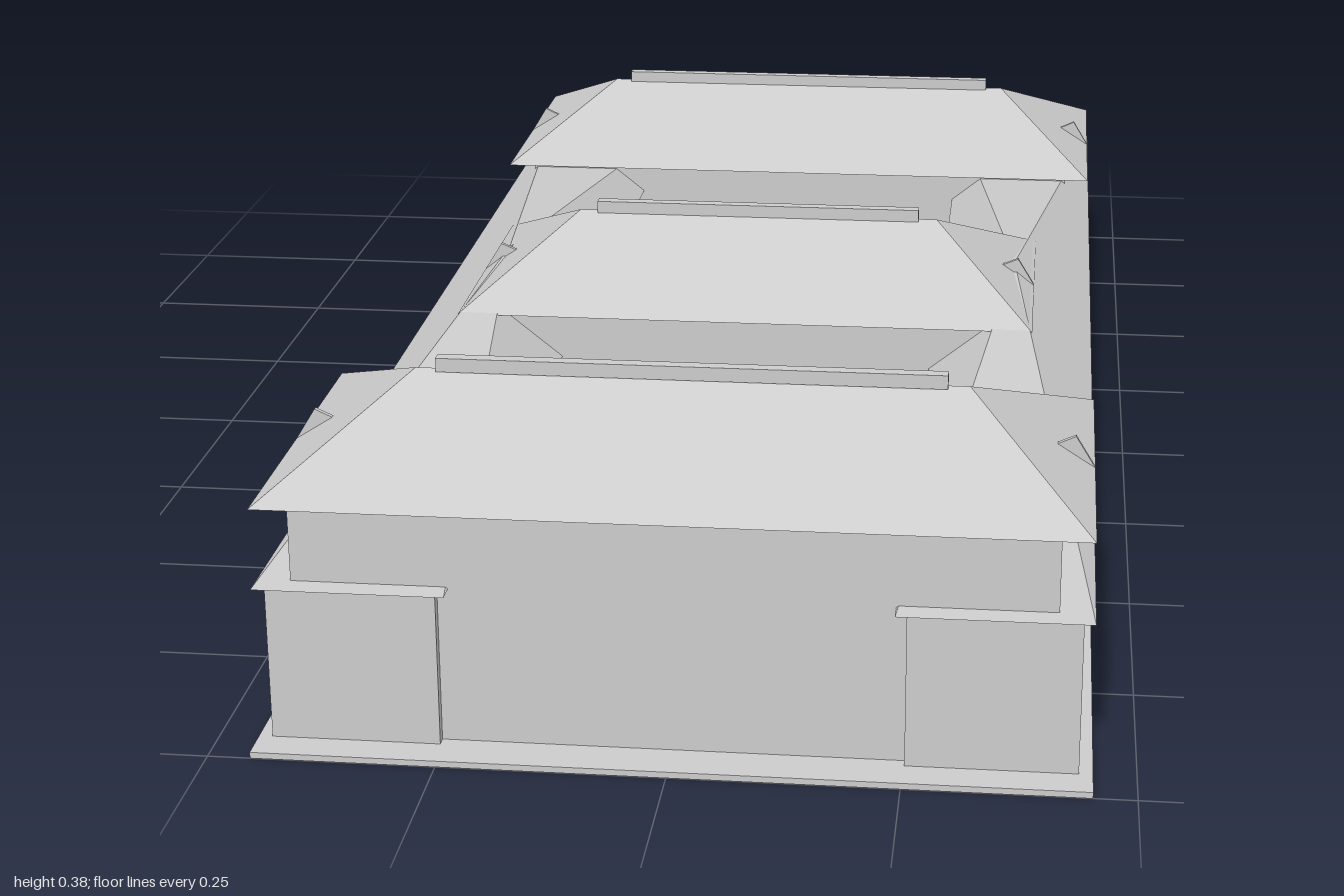
import * as THREE from 'three';

const stone = new THREE.MeshStandardMaterial({ color: 0xcccccc, flatShading: true });
stone.name = 'paleGrey';

const BASE = 0.007;

function add(group, name, geometry, x = 0, y = 0, z = 0) {
  const mesh = new THREE.Mesh(geometry, stone);
  mesh.name = name;
  mesh.position.set(x, y, z);
  group.add(mesh);
  return mesh;
}

// Box standing on height y0
function block(group, name, w, h, d, x, y0, z) {
  return add(group, name, new THREE.BoxGeometry(w, h, d), x, y0 + h / 2, z);
}

// Hipped roof: the top face of a box is pulled in to a ridge along x (ridge 0 gives a pyramid)
function hipRoof(halfX, halfZ, ridge, h) {
  const g = new THREE.BoxGeometry(2 * halfX, h, 2 * halfZ);
  const p = g.attributes.position;
  for (let i = 0; i < p.count; i++) {
    if (p.getY(i) > 0) p.setXYZ(i, Math.sign(p.getX(i)) * ridge, h, 0);
    else p.setY(i, 0);
  }
  g.computeVertexNormals();
  return g;
}

// Small upright triangular fin lying on the end slope of a roof
function fin(eaveX, run, rise) {
  const k = 0.042;
  const s = new THREE.Shape();
  s.moveTo(eaveX, 0);
  s.lineTo(eaveX - 0.022, 0.036);
  s.lineTo(eaveX - k, (k * rise) / run);
  s.closePath();
  const g = new THREE.ExtrudeGeometry(s, { depth: 0.006, bevelEnabled: false });
  g.translate(0, 0, -0.003);
  return g;
}

// Hall: walls, hipped roof, ridge bar and a fin at each end
function hall(name, { z, eaveX, halfZ, ridge, eaveY, rise }) {
  const g = new THREE.Group();
  g.name = name;
  g.position.z = z;
  block(g, 'hallWalls', 2 * (eaveX - 0.035), eaveY - BASE, 2 * (halfZ - 0.027), 0, BASE, 0);
  add(g, 'hallRoof', hipRoof(eaveX, halfZ, ridge, rise), 0, eaveY, 0);
  block(g, 'ridgeBar', 2 * (ridge - 0.024), 0.016, 0.015, 0, eaveY + rise - 0.002, 0);
  for (const turn of [0, Math.PI]) {
    add(g, 'roofFin', fin(eaveX, eaveX - ridge, rise), 0, eaveY, 0).rotation.y = turn;
  }
  return g;
}

export function createModel() {
  const model = new THREE.Group();
  model.name = 'courtyardHouse';

  block(model, 'basePlate', 0.906, BASE, 2, 0, 0, 0);

  // Long side wings, each under a low four-sided roof
  for (const side of [1, -1]) {
    const wing = new THREE.Group();
    wing.name = side > 0 ? 'leftWing' : 'rightWing';
    wing.position.x = side * 0.345;
    block(wing, 'wingWalls', 0.186, 0.186 - BASE, 1.92, 0, BASE, 0);
    add(wing, 'wingRoof', hipRoof(0.105, 0.972, 0, 0.084), 0, 0.186, 0);
    model.add(wing);
  }

  // Three cross halls
  model.add(
    hall('frontHall', { z: 0.762, eaveX: 0.447, halfZ: 0.213, ridge: 0.308, eaveY: 0.28, rise: 0.089 }),
    hall('middleHall', { z: 0.03, eaveX: 0.372, halfZ: 0.198, ridge: 0.24, eaveY: 0.249, rise: 0.087 }),
    hall('backHall', { z: -0.762, eaveX: 0.447, halfZ: 0.214, ridge: 0.308, eaveY: 0.229, rise: 0.088 })
  );
  return model;
}
